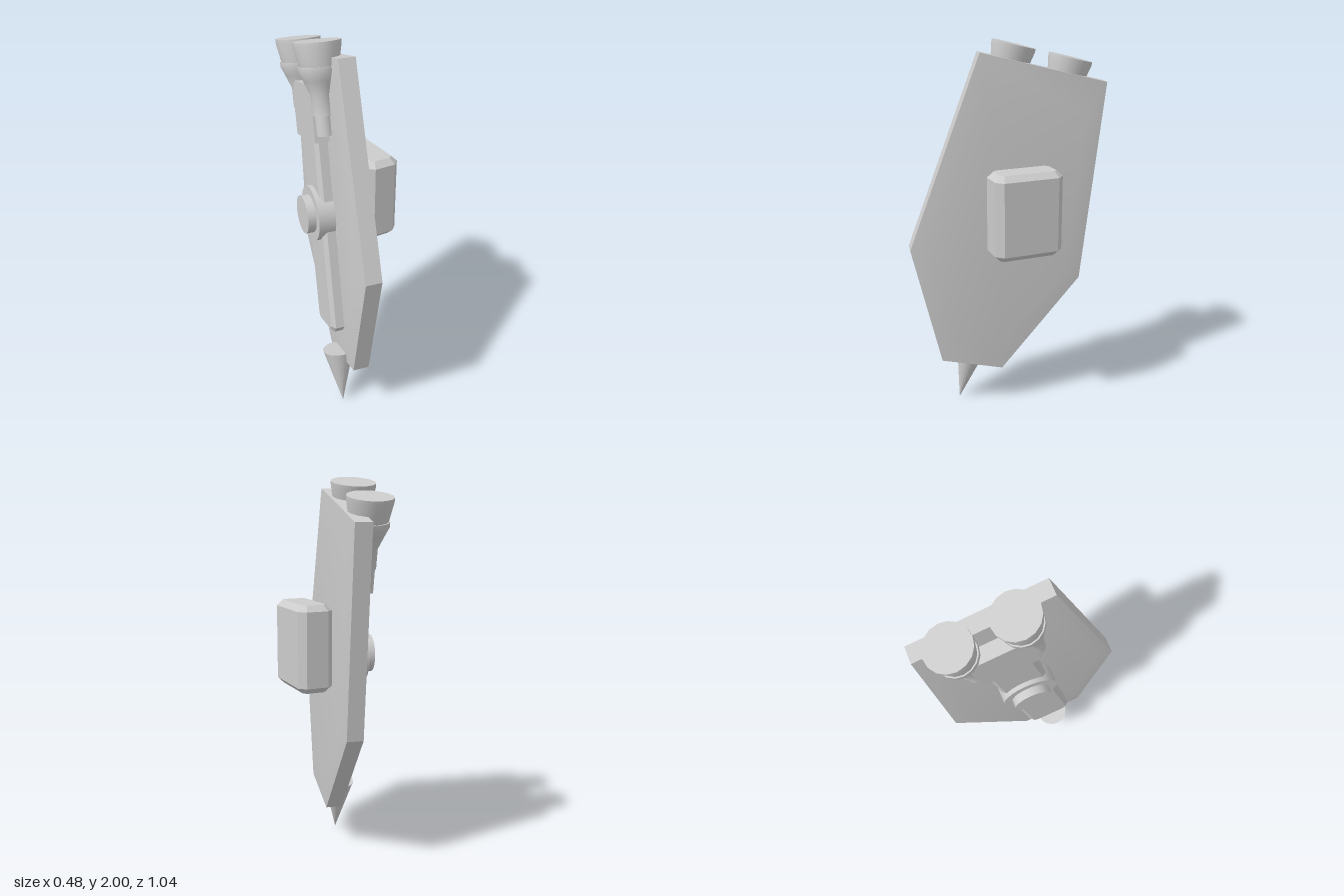
import * as THREE from 'three';
import { toCreasedNormals } from 'three/addons/utils/BufferGeometryUtils.js';

const grey = new THREE.MeshStandardMaterial({ color: 0xcccccc });
grey.name = 'light grey';

function part(name, geometry, crease = 0.6) {
  const mesh = new THREE.Mesh(toCreasedNormals(geometry, crease), grey);
  mesh.name = name;
  return mesh;
}

// Block with chamfered edges: w by h outline, extruded from z = 0 to d
function chamferedBlock(w, h, d, cut, bevel) {
  const a = w / 2 - bevel, b = h / 2 - bevel;
  const outline = [[a - cut, -b], [a, -b + cut], [a, b - cut], [a - cut, b],
    [-a + cut, b], [-a, b - cut], [-a, -b + cut], [-a + cut, -b]];
  const shape = new THREE.Shape(outline.map(([x, y]) => new THREE.Vector2(x, y)));
  return new THREE.ExtrudeGeometry(shape, {
    depth: d - 2 * bevel, bevelThickness: bevel, bevelSize: bevel, bevelSegments: 1,
  }).translate(0, 0, bevel);
}

// Six-sided plate, slightly domed on both faces, built from four rings
function plateGeometry() {
  const outline = [[0.8, 0.34], [-0.26, 0.472], [-0.858, 0.172],
    [-0.858, -0.172], [-0.26, -0.472], [0.8, -0.34]];
  const rings = [[0.056, 0.8], [0.043, 1], [-0.043, 1], [-0.056, 0.8]];
  const n = outline.length, pos = [], idx = [];
  for (const [x, s] of rings) {
    for (const [y, z] of outline) pos.push(x, -0.1 + (y + 0.1) * s, z * s);
  }
  for (let r = 0; r < rings.length - 1; r++) {
    for (let i = 0; i < n; i++) {
      const j = (i + 1) % n, a = r * n, b = a + n;
      idx.push(a + i, b + i, b + j, a + i, b + j, a + j);
    }
  }
  const last = (rings.length - 1) * n;
  for (let i = 1; i < n - 1; i++) {
    idx.push(0, i, i + 1, last, last + i + 1, last + i);
  }
  const g = new THREE.BufferGeometry();
  g.setAttribute('position', new THREE.Float32BufferAttribute(pos, 3));
  g.setIndex(idx);
  return g;
}

// Flared cup, funnel and stepped stem, with the top at y = 0
function thrusterGeometry() {
  const profile = [[0, -0.45], [0.043, -0.45], [0.043, -0.35], [0.055, -0.35],
    [0.055, -0.25], [0.085, -0.18], [0.103, -0.14], [0.103, -0.115],
    [0.096, -0.115], [0.115, -0.02], [0.115, 0], [0, 0]];
  return new THREE.LatheGeometry(profile.map(([r, y]) => new THREE.Vector2(r, y)), 16);
}

export function createModel() {
  const model = new THREE.Group();
  model.name = 'shield';

  // Everything on the plate shares its tilt
  const body = new THREE.Group();
  body.name = 'shieldBody';
  body.position.set(-0.042, 1.085, 0.003);
  body.rotation.set(0, THREE.MathUtils.degToRad(-10), 0);
  const tilted = new THREE.Group();
  tilted.name = 'tiltedParts';
  tilted.rotation.x = THREE.MathUtils.degToRad(-13.6);
  body.add(tilted);
  model.add(body);

  tilted.add(part('plate', plateGeometry(), 0.5));

  // Raised spine on the inner face
  const spine = part('spine', chamferedBlock(0.24, 1.1, 0.122, 0.02, 0.02), 0.3);
  spine.rotation.y = -Math.PI / 2;
  spine.position.y = -0.1;
  tilted.add(spine);

  // Bracket between the thrusters
  const bracket = part('thrusterBracket', new THREE.BoxGeometry(0.13, 0.28, 0.3));
  bracket.position.set(-0.065, 0.53, 0);
  tilted.add(bracket);

  // Pivot: wide flange and smaller knob
  for (const [name, r, length] of [['pivotFlange', 0.145, 0.145], ['pivotKnob', 0.1, 0.188]]) {
    const disc = part(name, new THREE.CylinderGeometry(r, r, length, 24));
    disc.rotation.z = Math.PI / 2;
    disc.position.x = -length / 2;
    tilted.add(disc);
  }

  // Twin thrusters along the top edge
  for (const side of [1, -1]) {
    const thruster = part(side > 0 ? 'frontThruster' : 'rearThruster', thrusterGeometry());
    thruster.position.set(-0.076, 0.875, side * 0.155);
    tilted.add(thruster);
  }

  // Spike at the bottom
  const spike = part('spike', new THREE.ConeGeometry(0.085, 0.32, 16));
  spike.rotation.x = Math.PI;
  spike.position.set(-0.064, -0.96, 0);
  tilted.add(spike);

  // Upright chamfered block on the outer side
  const block = part('sideBlock', chamferedBlock(0.185, 0.365, 0.445, 0.018, 0.03), 0.3);
  block.rotation.x = -Math.PI / 2;
  block.position.set(0.1475, 0.93, -0.02);
  model.add(block);

  return model;
}
